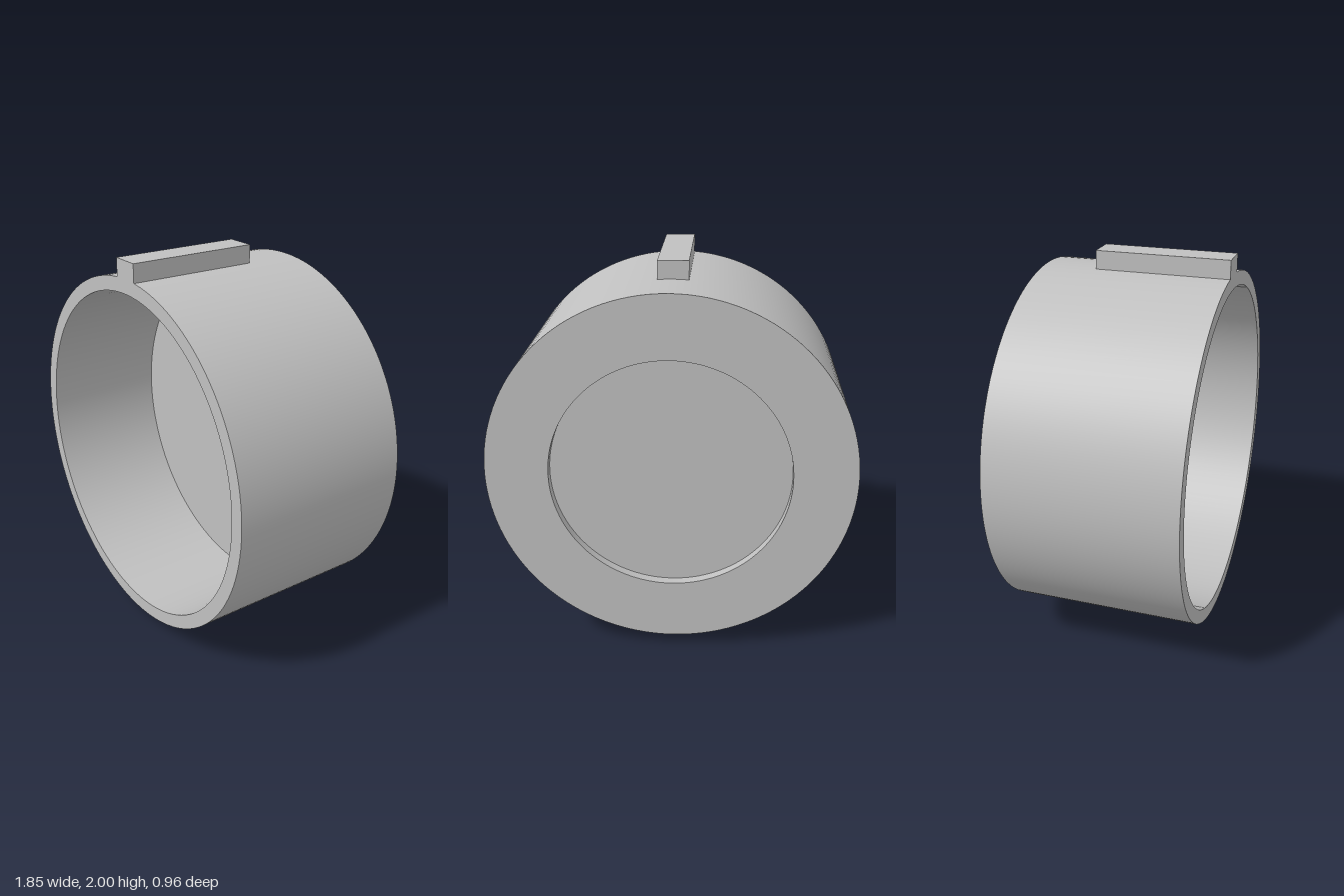
import * as THREE from 'three';
import { toCreasedNormals } from 'three/addons/utils/BufferGeometryUtils.js';

const CENTRE_Y = 0.985, RADIUS = 0.925, HALF_DEPTH = 0.48;

export function createModel() {
  const group = new THREE.Group();
  const grey = new THREE.MeshStandardMaterial({ color: 0xc0c0c0 });
  grey.name = 'plain grey';

  const add = (name, geometry) => {
    const mesh = new THREE.Mesh(geometry, grey);
    mesh.name = name;
    group.add(mesh);
    return mesh;
  };

  // Round cup, open at the front, with a shallow round recess in the back
  const profile = [
    [0, -0.43], [0.606, -0.43], [0.606, -HALF_DEPTH], [RADIUS, -HALF_DEPTH],
    [RADIUS, HALF_DEPTH], [0.852, HALF_DEPTH], [0.852, -0.17], [0, -0.17],
  ].map(([r, z]) => new THREE.Vector2(r, z));
  const cup = toCreasedNormals(new THREE.LatheGeometry(profile, 128), 0.5);
  cup.rotateX(Math.PI / 2);
  add('cup', cup).position.y = CENTRE_Y;

  // Straight key along the top, flush with the rim and seated in the wall
  const keyBottom = 1.88, keyBack = -0.2;
  const key = new THREE.BoxGeometry(0.154, 2 - keyBottom, HALF_DEPTH - keyBack);
  add('topKey', key).position.set(0, (2 + keyBottom) / 2, (HALF_DEPTH + keyBack) / 2);

  // Catch underneath, with a sloped front end; side profile is (z, y)
  const width = 0.224;
  const side = new THREE.Shape([
    [-0.2, 0], [0.25, 0], [0.37, 0.09], [-0.2, 0.09],
  ].map(([z, y]) => new THREE.Vector2(z, y)));
  const latch = new THREE.ExtrudeGeometry(side, { depth: width, bevelEnabled: false });
  latch.translate(0, 0, -width / 2);
  latch.rotateY(-Math.PI / 2);
  add('bottomCatch', latch);

  return group;
}
